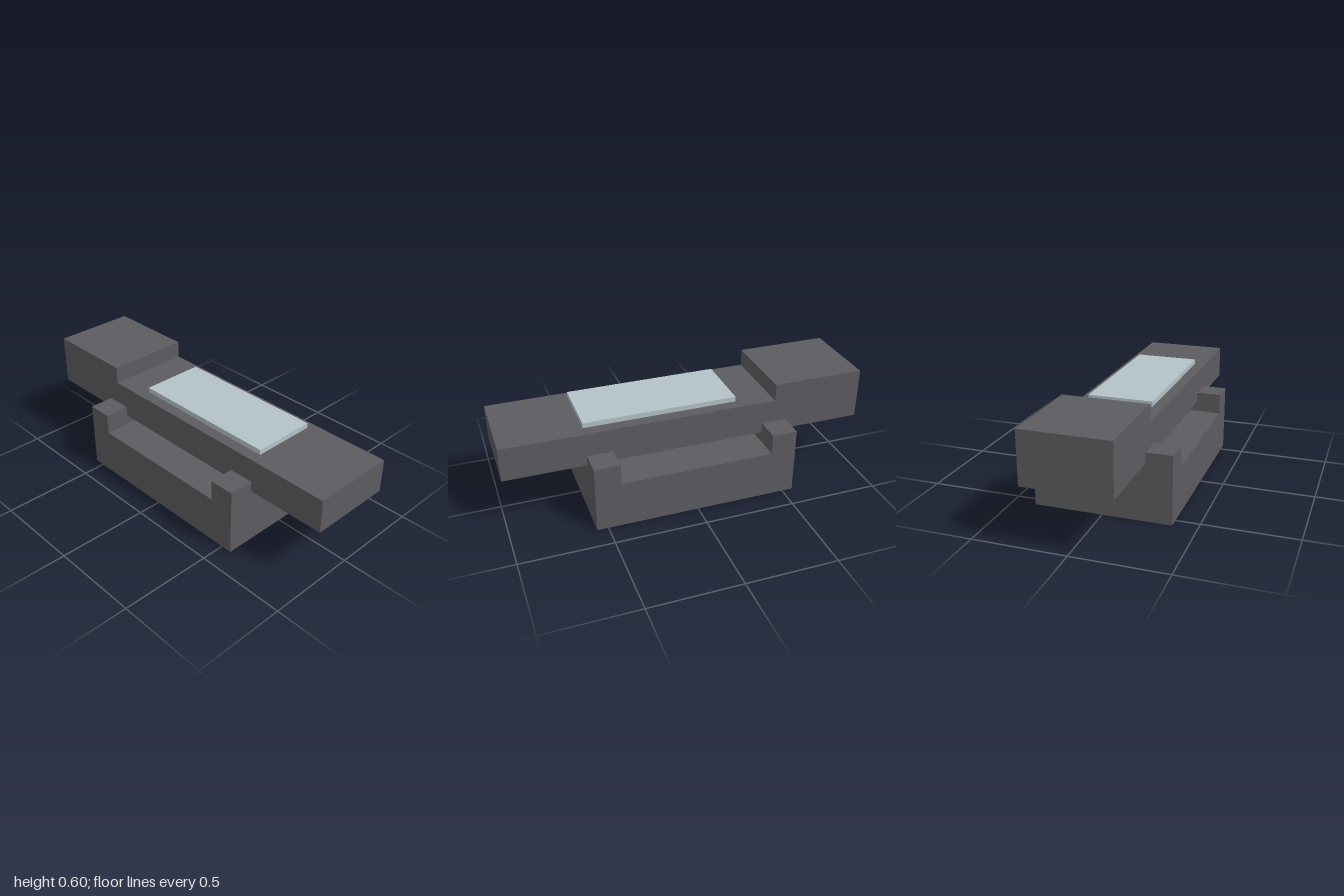
import * as THREE from 'three';

// Extrudes a side profile of [z, y] points across x, centred on x = 0.
function sideProfile(points, width) {
  const shape = new THREE.Shape(points.map(([z, y]) => new THREE.Vector2(z, y)));
  const geometry = new THREE.ExtrudeGeometry(shape, { depth: width, bevelEnabled: false });
  geometry.translate(0, 0, -width / 2);
  geometry.rotateY(-Math.PI / 2);
  return geometry;
}

export function createModel() {
  const model = new THREE.Group();
  const darkGrey = new THREE.MeshStandardMaterial({ color: 0x5c5b60 });
  darkGrey.name = 'dark grey';
  const paleBlue = new THREE.MeshStandardMaterial({ color: 0xb4c1c8 });
  paleBlue.name = 'pale blue grey';

  const add = (name, geometry, material) => {
    const mesh = new THREE.Mesh(geometry, material);
    mesh.name = name;
    model.add(mesh);
    return mesh;
  };

  // Cradle base with a raised lip at each end
  add('base', sideProfile([
    [-0.56, 0], [0.56, 0], [0.56, 0.373], [0.42, 0.373],
    [0.42, 0.26], [-0.42, 0.26], [-0.42, 0.373], [-0.56, 0.373],
  ], 0.742), darkGrey);

  // Long beam resting in the lips, with a taller block at the back
  add('beam', sideProfile([
    [-1, 0.317], [1, 0.317], [1, 0.502],
    [-0.49, 0.502], [-0.49, 0.597], [-1, 0.597],
  ], 0.464), darkGrey);

  // Pale panel just above the beam
  add('topPanel', new THREE.BoxGeometry(0.354, 0.028, 0.84), paleBlue)
    .position.set(0, 0.522, 0.14);

  return model;
}
